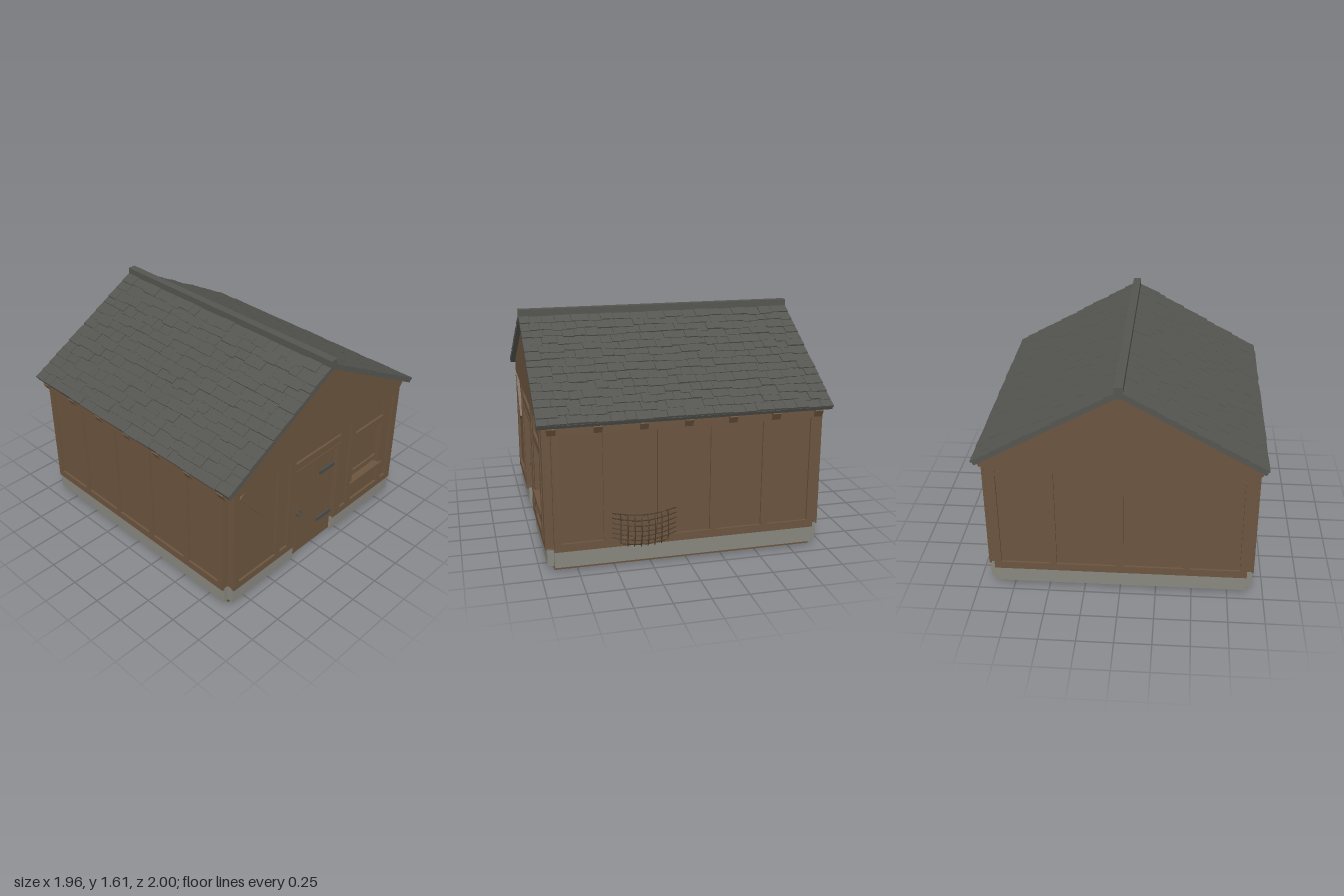
import * as THREE from 'three';
import { mergeGeometries } from 'three/addons/utils/BufferGeometryUtils.js';

const mat = (name, color) => {
  const m = new THREE.MeshStandardMaterial({ color });
  m.name = name;
  return m;
};

export function createModel() {
  const wood = mat('brown timber', 0x6b543f);
  const stone = mat('grey stone', 0x87867e);
  const slate = mat('dark slate', 0x545550);
  const iron = mat('dark iron', 0x474b4a);
  const wire = mat('dark wicker', 0x4a3a2b);

  const house = new THREE.Group();
  house.name = 'cabin';

  let seed = 7;
  const rand = () => (seed = (seed * 16807) % 2147483647) / 2147483647;

  const add = (name, geometry, material, parent = house) => {
    const mesh = new THREE.Mesh(geometry, material);
    mesh.name = name;
    parent.add(mesh);
    return mesh;
  };
  // box given by its minimum and maximum on each axis
  const boxGeo = (x0, x1, y0, y1, z0, z1) =>
    new THREE.BoxGeometry(x1 - x0, y1 - y0, z1 - z0)
      .translate((x0 + x1) / 2, (y0 + y1) / 2, (z0 + z1) / 2);
  const box = (name, material, ...b) => add(name, boxGeo(...b), material);
  // outline with rectangular holes [x0, x1, y0, y1]
  const plate = (points, holes, depth) => {
    const shape = new THREE.Shape(points.map(p => new THREE.Vector2(...p)));
    for (const [x0, x1, y0, y1] of holes) {
      shape.holes.push(new THREE.Path([[x0, y0], [x0, y1], [x1, y1], [x1, y0]]
        .map(p => new THREE.Vector2(...p))));
    }
    return new THREE.ExtrudeGeometry(shape, { depth, bevelEnabled: false });
  };

  // floor planks
  for (let i = 0; i < 16; i++) {
    const x = -0.875 + i * 0.1094;
    box('floorPlank', wood, x + 0.002, x + 0.107, 0, 0.035, -0.905, 0.905);
  }

  // stone foundation with notched corners and a gap for the door
  for (const s of [-1, 1]) {
    box('foundationSide', stone, s * 0.9 - 0.02, s * 0.9 + 0.02, 0.035, 0.16, -0.907, 0.907);
  }
  box('foundationBack', stone, -0.88, 0.88, 0.035, 0.16, -0.95, -0.905);
  box('foundationFrontRight', stone, -0.88, -0.26, 0.035, 0.16, 0.905, 0.95);
  box('foundationFrontLeft', stone, 0.18, 0.88, 0.035, 0.16, 0.905, 0.95);

  // gable walls: core, recessed panels and a flush timber frame
  const B = 0.15, EAVE = 1.05, APEX = 1.54, P0 = 0.205, P1 = 0.95;
  const gable = [[-0.88, B], [0.88, B], [0.88, EAVE], [0, APEX], [-0.88, EAVE]];
  const gableDoor = [[-0.88, B], [-0.26, B], [-0.26, 0.82], [0.18, 0.82], [0.18, B],
    [0.88, B], [0.88, EAVE], [0, APEX], [-0.88, EAVE]];
  const windowHole = [0.375, 0.705, 0.38, 0.76];
  add('wallCore', plate(gable, [], 1.8), wood).position.z = -0.9;
  add('frontPanels', plate(gableDoor, [windowHole], 0.047), wood).position.z = 0.9;
  const frontHoles = [[-0.83, -0.465, P0, P1], [-0.42, -0.34, P0, P1], [-0.285, 0.2, 0.9, P1],
    [0.255, 0.32, P0, P1], [0.375, 0.705, 0.82, P1], [0.375, 0.705, P0, 0.35],
    [0.755, 0.82, P0, P1], windowHole];
  add('frontFrame', plate(gableDoor, frontHoles, 0.016), wood).position.z = 0.947;
  add('backPanels', plate(gable, [], 0.047), wood).position.z = -0.947;
  const backHoles = [[-0.83, -0.49], [-0.44, -0.025], [0.025, 0.44], [0.49, 0.83]]
    .map(h => [...h, P0, P1]);
  add('backFrame', plate(gable, backHoles, 0.016), wood).position.z = -0.963;

  // side walls
  const sidePanels = [[0.575, 0.86], [0.21, 0.525], [-0.155, 0.16], [-0.52, -0.2], [-0.86, -0.565]];
  const rect = [[-0.907, B], [0.907, B], [0.907, 1.02], [-0.907, 1.02]];
  for (const s of [-1, 1]) {
    box('sidePanels', wood, s * 0.895 - 0.02, s * 0.895 + 0.02, B, 1.02, -0.905, 0.905);
    const holes = sidePanels.map(([a, b]) => s > 0 ? [-b, -a, P0, P1] : [a, b, P0, P1]);
    const frame = add('sideFrame', plate(rect, holes, 0.017), wood);
    frame.rotation.y = s * Math.PI / 2;
    frame.position.x = s * 0.914;
  }

  // diagonal braces
  for (const [s, z] of [[-1, 0.957], [-1, -0.957], [1, -0.957]]) {
    const brace = add('brace', new THREE.BoxGeometry(0.385, 0.05, 0.024), wood);
    brace.position.set(s * 0.695, 0.792, z);
    brace.rotation.z = s * 0.89;
  }

  // door: planks, casing, hinges and ring handle
  for (let i = 0; i < 8; i++) {
    const x = -0.26 + i * 0.055;
    box('doorPlank', wood, x + 0.001, x + 0.054, 0.037, 0.815, 0.9, 0.922 + rand() * 0.008);
  }
  box('doorBacking', wood, -0.26, 0.18, 0.037, 0.82, 0.88, 0.915);
  box('doorJamb', wood, -0.285, -0.26, 0.16, 0.84, 0.94, 0.967);
  box('doorJamb', wood, 0.18, 0.2, 0.16, 0.84, 0.94, 0.967);
  box('doorHead', wood, -0.26, 0.18, 0.818, 0.84, 0.94, 0.967);
  for (const y of [0.212, 0.645]) box('hinge', iron, 0.02, 0.185, y - 0.013, y + 0.013, 0.92, 0.938);
  add('doorRing', new THREE.TorusGeometry(0.021, 0.004, 8, 20), iron).position.set(-0.19, 0.4, 0.936);
  box('ringPlate', iron, -0.197, -0.183, 0.412, 0.428, 0.92, 0.938);

  // shuttered window with sill
  for (let i = 0; i < 6; i++) {
    const x = 0.375 + i * 0.055;
    box('shutterBoard', wood, x + 0.002, x + 0.053, 0.38, 0.76, 0.9, 0.913 + rand() * 0.008);
  }
  for (const y of [0.43, 0.715]) box('shutterBatten', wood, 0.375, 0.705, y - 0.013, y + 0.013, 0.91, 0.932);
  box('windowSill', wood, 0.35, 0.735, 0.35, 0.385, 0.93, 0.977);

  // roof slopes: boarding, rafters and rows of uneven slates
  const pitch = 0.508;
  for (const s of [-1, 1]) {
    const slope = new THREE.Group();
    slope.name = 'roofSlope';
    slope.position.y = APEX;
    slope.rotation.z = -s * pitch;
    house.add(slope);
    const across = (d0, d1) => s > 0 ? [d0, d1] : [-d1, -d0];
    add('roofBoarding', boxGeo(...across(0, 1.09), 0, 0.024, -0.998, 0.998), slate, slope);
    for (let i = -3; i <= 3; i++) {
      const z = i * 0.302;
      add('rafter', boxGeo(...across(0.03, 1.1), -0.053, 0, z - 0.028, z + 0.028), wood, slope);
    }
    const tiles = [];
    for (let row = 0; row < 14; row++) {
      let z = -1;
      while (z < 1) {
        let end = z + 0.07 + rand() * 0.07;
        if (end > 0.95) end = 1;
        const low = 1.098 - row * 0.077 - (row ? (rand() - 0.5) * 0.024 : rand() * 0.008);
        const len = Math.min(0.11, low - 0.01);
        tiles.push(new THREE.BoxGeometry(len, 0.014, end - z - 0.002)
          .rotateZ(s * 0.08)
          .translate(s * (low - len / 2), 0.027 + rand() * 0.006, (z + end) / 2));
        z = end;
      }
    }
    add('slates', mergeGeometries(tiles), slate, slope);
  }
  box('ridgeCap', slate, -0.029, 0.029, 1.53, 1.61, -1, 1);

  // bulging woven rack on the left wall
  const rack = new THREE.Group();
  rack.name = 'wovenRack';
  house.add(rack);
  const point = (u, v) => {
    const c = Math.cos(u * Math.PI / 2);
    return new THREE.Vector3(0.922 + 0.04 * c * Math.sin(Math.PI * (0.12 + 0.8 * v)),
      0.18 + 0.21 * v - 0.028 * c, 0.3 + 0.22 * u);
  };
  const strand = (name, fn) => {
    const pts = Array.from({ length: 9 }, (_, i) => fn(i / 8));
    add(name, new THREE.TubeGeometry(new THREE.CatmullRomCurve3(pts), 20, 0.004, 5), wire, rack);
  };
  for (let i = 0; i < 7; i++) strand('rackHoop', t => point(t * 2 - 1, i / 6));
  for (let i = 0; i < 8; i++) strand('rackUpright', t => point(-0.74 + i * 0.211, t * 1.1 - 0.08));

  return house;
}
